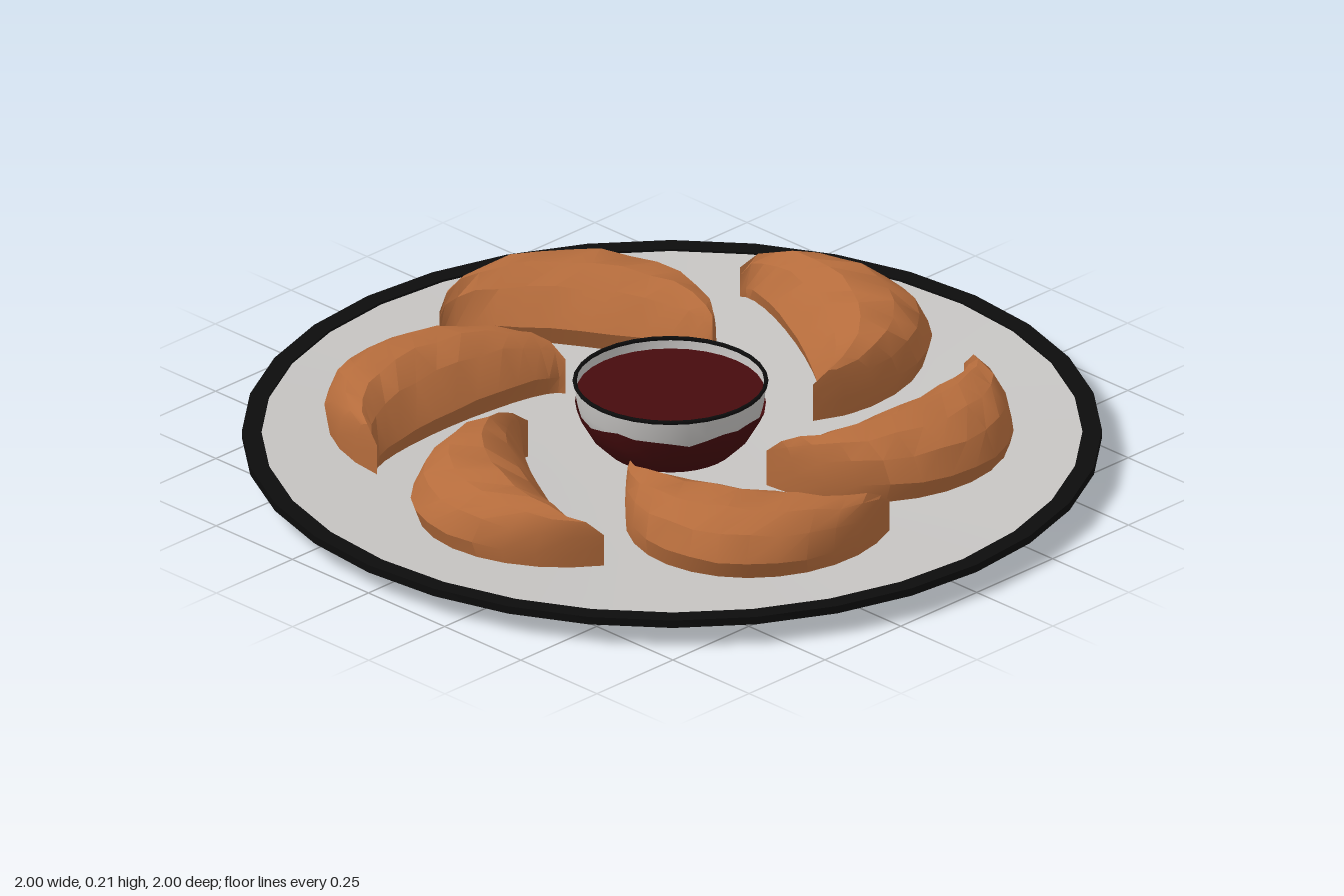
import * as THREE from 'three';
import { toCreasedNormals } from 'three/addons/utils/BufferGeometryUtils.js';

const mat = (name, color, side = THREE.FrontSide) => {
  const m = new THREE.MeshStandardMaterial({ color, side });
  m.name = name;
  return m;
};

function mesh(name, geometry, material) {
  const m = new THREE.Mesh(geometry, material);
  m.name = name;
  return m;
}

const lathe = (pts, sides) =>
  new THREE.LatheGeometry(pts.map(([r, y]) => new THREE.Vector2(r, y)), sides);

// Half-moon pastry: cross-sections swept between two tips, bulging to one side
function pastryGeometry([ax, az, bx, bz], seed) {
  const section = [[0.06, 0], [0, 0.32], [0.2, 0.8], [0.42, 1], [0.7, 0.95], [0.9, 0.72], [1, 0.36], [0.93, 0]];
  const n = section.length, steps = 14;
  const length = Math.hypot(bx - ax, bz - az);
  const dx = (bx - ax) / length, dz = (bz - az) / length;
  const pos = [], idx = [];
  for (let i = 0; i <= steps; i++) {
    const t = (i / steps) * Math.PI, s = Math.sin(t);
    const u = length / 2 - (length / 2 + 0.01) * Math.cos(t);
    const inner = 0.05 * s, outer = 0.365 * s;
    const height = 0.165 * (0.55 + 0.45 * Math.sqrt(s));
    section.forEach(([f, h], k) => {
      const bump = 1 + 0.03 * Math.sin(i * 2.3 + k * 1.7 + seed * 4.1);
      const v = inner + (outer - inner) * f;
      pos.push(ax + dx * u + dz * v, 0.038 + height * h * bump, az + dz * u - dx * v);
    });
  }
  for (let i = 0; i < steps; i++) {
    for (let k = 0; k < n; k++) {
      const a = i * n + k, d = i * n + ((k + 1) % n);
      idx.push(a, a + n, d + n, a, d + n, d);
    }
  }
  const g = new THREE.BufferGeometry();
  g.setAttribute('position', new THREE.Float32BufferAttribute(pos, 3));
  g.setIndex(idx);
  return toCreasedNormals(g, 0.5);
}

export function createModel() {
  const china = mat('china white', 0xc6c4c2, THREE.DoubleSide);
  const black = mat('rim black', 0x0c0c0c);
  const crust = mat('baked crust', 0xb56c3c);
  const sauceRed = mat('dark red sauce', 0x470b0d, THREE.DoubleSide);
  const model = new THREE.Group();
  model.name = 'pastryPlatter';

  // Shallow plate with a slight foot and a dark edge
  const plate = new THREE.Group();
  plate.name = 'plate';
  plate.add(
    mesh('plateDish', toCreasedNormals(lathe([
      [0, 0.008], [0.16, 0.008], [0.17, 0], [0.3, 0.001], [0.62, 0.018], [0.96, 0.052],
      [0.96, 0.066], [0.62, 0.047], [0.3, 0.03], [0, 0.026],
    ], 32), 0.6), china),
    mesh('plateRim', toCreasedNormals(lathe([
      [0.955, 0.05], [1, 0.053], [1, 0.072], [0.955, 0.071], [0.955, 0.05],
    ], 32), 0.6), black),
  );
  model.add(plate);

  // Dipping bowl
  const bowl = new THREE.Group();
  bowl.name = 'dippingBowl';
  bowl.position.x = -0.005;
  const wall = [[0.1, 0.025], [0.15, 0.04], [0.185, 0.075], [0.208, 0.115], [0.219, 0.155], [0.223, 0.2]];
  bowl.add(mesh('bowlWall', lathe(wall, 32), china));
  const rim = mesh('bowlRim', new THREE.TorusGeometry(0.223, 0.005, 6, 32), black);
  rim.rotation.x = Math.PI / 2;
  rim.position.y = 0.203;
  bowl.add(rim);

  // Sauce surface
  const sauce = mesh('sauce', new THREE.CircleGeometry(0.219, 32), sauceRed);
  sauce.rotation.x = -Math.PI / 2;
  sauce.position.y = 0.178;
  bowl.add(sauce);

  // Sauce band on the outer wall, with an uneven upper edge
  const bandPoints = wall.slice(1, 5).map(([r, y]) => [r + 0.003, y]);
  const band = lathe(bandPoints, 32);
  const p = band.attributes.position;
  for (let i = 0; i < p.count; i++) {
    if (p.getY(i) < 0.15) continue;
    const a = Math.atan2(p.getZ(i), p.getX(i));
    p.setY(i, 0.148 + 0.006 * Math.sin(a * 5) + 0.004 * Math.sin(a * 11));
  }
  band.computeVertexNormals();
  bowl.add(mesh('sauceBand', band, sauceRed));
  model.add(bowl);

  // Ring of six pastries, each given by its two tips (x, z, x, z)
  const tips = [
    [-0.61, -0.35, 0.0, -0.36], [-0.02, -0.73, 0.32, -0.2], [0.63, -0.4, 0.32, 0.14],
    [0.64, 0.31, 0.01, 0.31], [0.01, 0.69, -0.28, 0.16], [-0.58, 0.35, -0.29, -0.18],
  ];
  tips.forEach((t, i) => model.add(mesh('pastry' + (i + 1), pastryGeometry(t, i), crust)));

  return model;
}
